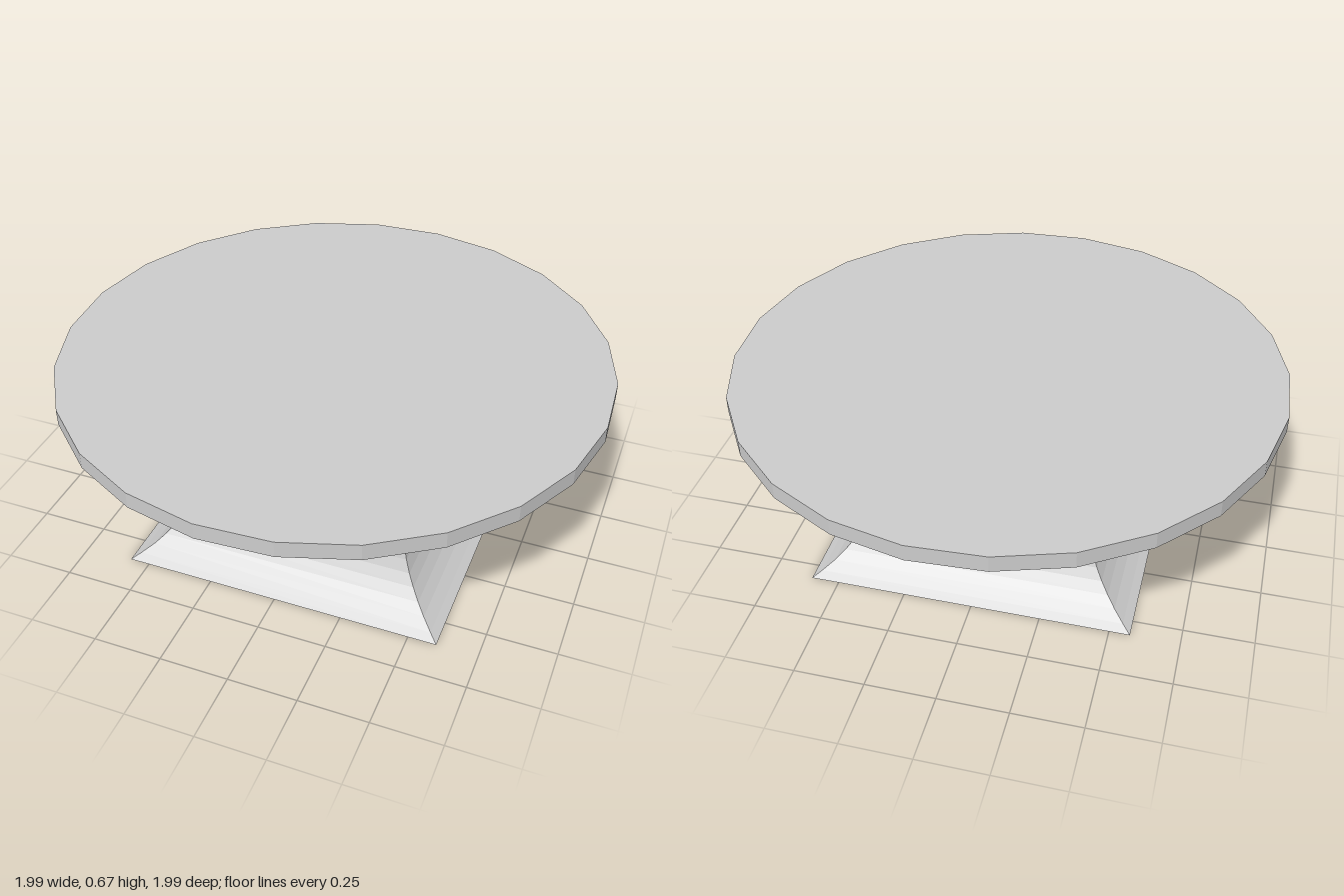
import * as THREE from 'three';

export function createModel() {
  const group = new THREE.Group();
  const material = new THREE.MeshStandardMaterial({ color: 0xcccccc, flatShading: true });

  // Round table top: a thin 24-sided disc
  const topGeometry = new THREE.CylinderGeometry(1, 1, 0.06, 24, 1, false, THREE.MathUtils.degToRad(-4.5));
  const tableTop = new THREE.Mesh(topGeometry, material);
  tableTop.name = 'tableTop';
  tableTop.position.y = 0.635;
  group.add(tableTop);

  // Square pedestal with concave sides: half width and height, bottom to top
  const curve = new THREE.SplineCurve([
    [0.588, 0], [0.52, 0.045], [0.46, 0.11], [0.418, 0.19], [0.398, 0.29],
    [0.412, 0.38], [0.445, 0.455], [0.485, 0.52], [0.53, 0.57],
  ].map(([w, y]) => new THREE.Vector2(w * Math.SQRT2, y)));
  const profile = [
    new THREE.Vector2(0, 0),
    ...curve.getPoints(16),
    new THREE.Vector2(0, 0.57),
  ];
  const pedestal = new THREE.Mesh(new THREE.LatheGeometry(profile, 4, Math.PI / 4), material);
  pedestal.name = 'pedestal';
  pedestal.position.set(0.014, 0, 0.02);
  group.add(pedestal);

  return group;
}
